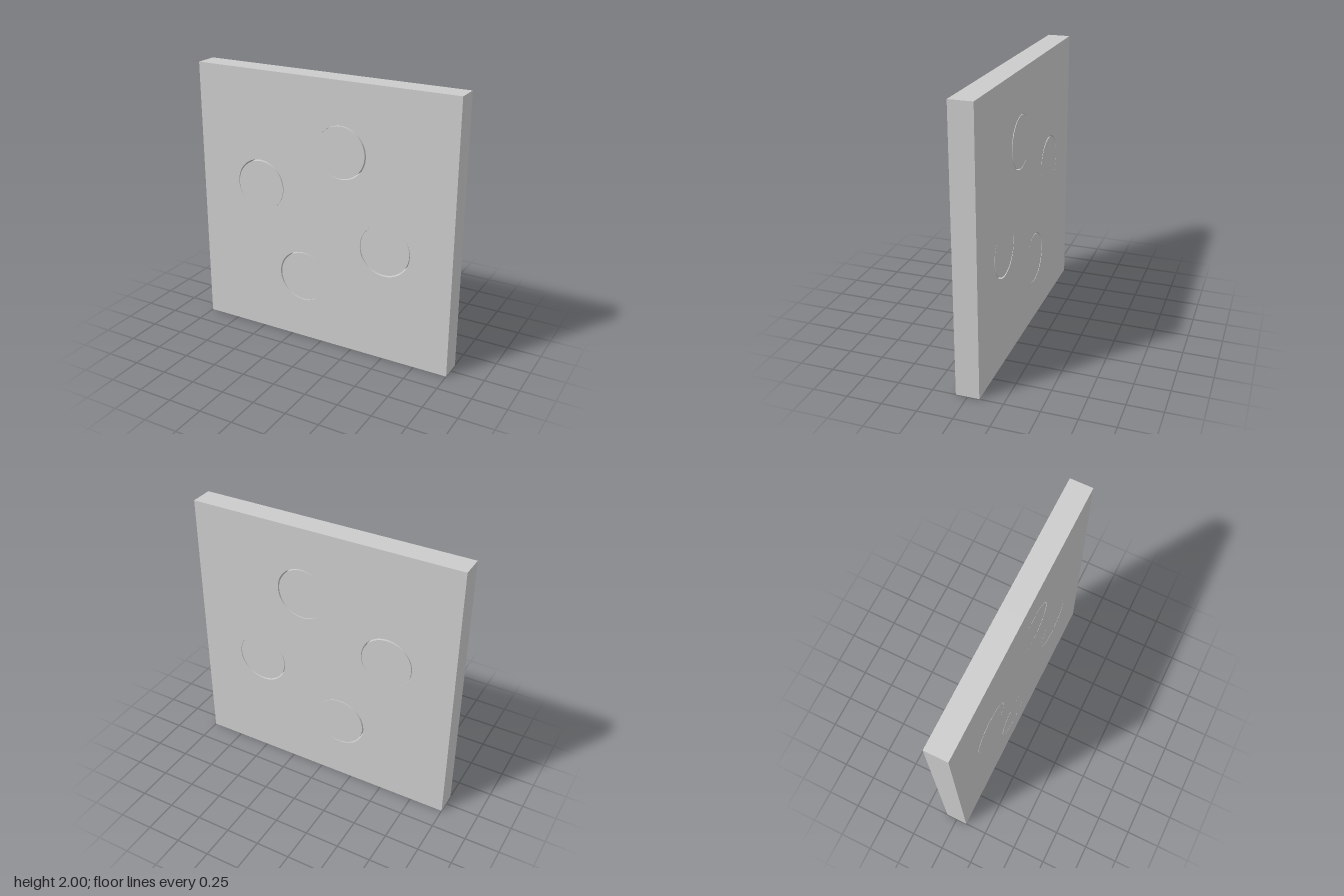
import * as THREE from 'three';
import { toCreasedNormals } from 'three/addons/utils/BufferGeometryUtils.js';

const DEPTH = 0.166;
const NECK = 0.112; // half width of a tab where it meets the piece edge

// Circle through both neck corners whose far side lies `reach` from the edge
function tabCircle(reach) {
  const r = (reach + NECK * NECK / reach) / 2;
  return { r, c: reach - r };
}

// One square piece: socket in the bottom edge, knob on the right edge
function pieceGeometry() {
  const knob = tabCircle(0.334);
  const socket = tabCircle(0.345);
  const s = new THREE.Shape();
  s.moveTo(-1, 0);
  s.lineTo(-0.5 - NECK, 0);
  s.absarc(-0.5, socket.c, socket.r,
    Math.atan2(-socket.c, -NECK), Math.atan2(-socket.c, NECK), true);
  s.lineTo(0, 0);
  s.lineTo(0, 0.5 - NECK);
  s.absarc(knob.c, 0.5, knob.r,
    Math.atan2(-NECK, -knob.c), Math.atan2(NECK, -knob.c), false);
  s.lineTo(0, 1);
  s.lineTo(-1, 1);
  s.closePath();
  const g = new THREE.ExtrudeGeometry(s, { depth: DEPTH, bevelEnabled: false, curveSegments: 48 });
  g.translate(0, 0, -DEPTH / 2);
  return toCreasedNormals(g, Math.PI / 6);
}

export function createModel() {
  const model = new THREE.Group();
  model.name = 'jigsawPuzzle';
  const material = new THREE.MeshStandardMaterial({ color: 0xcccccc });
  const geometry = pieceGeometry();

  // The same piece turned in quarter steps about the centre, so each knob fills the next socket
  const names = ['topRightPiece', 'bottomRightPiece', 'bottomLeftPiece', 'topLeftPiece'];
  names.forEach((name, i) => {
    const piece = new THREE.Mesh(geometry, material);
    piece.name = name;
    piece.position.y = 1;
    piece.rotation.z = -i * Math.PI / 2;
    model.add(piece);
  });
  return model;
}
